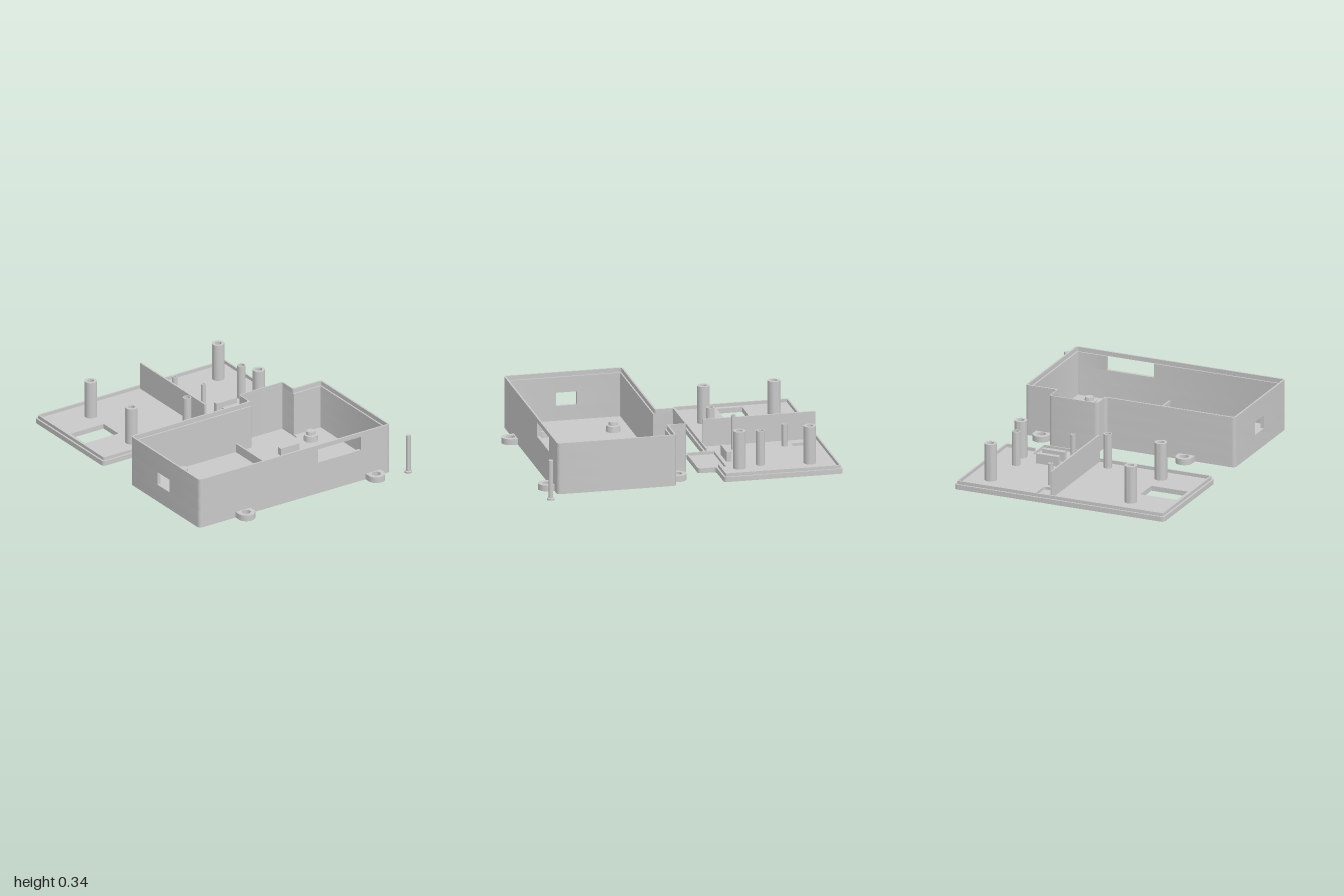
import * as THREE from 'three';
import { toCreasedNormals } from 'three/addons/utils/BufferGeometryUtils.js';

const LIP = 0.012, WALL = 0.022, BAY_WALL = 0.008;
const LEFT = 0.683, RIGHT = -0.807, DEPTH = 0.793, BAY0 = 0.114, BAY1 = 0.461;

export function createModel() {
  const grey = new THREE.MeshStandardMaterial({ color: 0xc8c8c8 });
  grey.name = 'plastic grey';
  const model = new THREE.Group();
  model.name = 'electronicsEnclosure';
  const base = new THREE.Group(), lid = new THREE.Group(), screw = new THREE.Group();
  base.name = 'caseBase';
  lid.name = 'caseLid';
  screw.name = 'screw';
  model.add(base, lid, screw);

  const vec = (x, y) => new THREE.Vector2(x, y);
  const add = (parent, name, geometry) => {
    const mesh = new THREE.Mesh(geometry, grey);
    mesh.name = name;
    parent.add(mesh);
    return mesh;
  };
  const box = (parent, name, x0, x1, y0, y1, z0, z1) =>
    add(parent, name, new THREE.BoxGeometry(x1 - x0, y1 - y0, z1 - z0))
      .position.set((x0 + x1) / 2, (y0 + y1) / 2, (z0 + z1) / 2);
  // Horizontal slab; shapes are drawn counter-clockwise in (x, -z)
  const slab = (parent, name, shape, y0, y1) => {
    const g = new THREE.ExtrudeGeometry(shape, { depth: y1 - y0, bevelEnabled: false, curveSegments: 16 });
    g.rotateX(-Math.PI / 2);
    g.translate(0, y0, 0);
    add(parent, name, toCreasedNormals(g, 0.6));
  };
  // Turned part from [radius, height] pairs
  const turned = (parent, name, profile, x, z) => {
    const g = new THREE.LatheGeometry(profile.map(p => vec(...p)), 28);
    add(parent, name, toCreasedNormals(g, 0.6)).position.set(x, 0, z);
  };
  const tube = (parent, name, x, z, r, hole, y0, y1) =>
    turned(parent, name, [[hole, y0], [r, y0], [r, y1], [hole, y1], [hole, y0]], x, z);
  const circle = (x, z, r) => new THREE.Path().absarc(x, -z, r, 0, Math.PI * 2, true);
  const rect = (x0, x1, z0, z1) =>
    new THREE.Path([vec(x0, -z0), vec(x1, -z0), vec(x1, -z1), vec(x0, -z1)]);

  // Case outline with thin-walled side bay, inset by d; v runs from the bay side into the case
  const corners = d => {
    const e = Math.min(d, BAY_WALL);
    return [
      vec(RIGHT + d, d), vec(BAY0 + e, d), vec(BAY0 + e, -0.12 + e), vec(BAY1 - e, -0.12 + e),
      vec(BAY1 - e, d), vec(LEFT - d, d), vec(LEFT - d, DEPTH - d), vec(RIGHT + d, DEPTH - d),
    ];
  };
  const rounded = (d, start = 0, count = 8) => {
    const c = corners(d), r = Math.max(0.025 - d, 0.004), out = [];
    for (let i = start; i < start + count; i++) {
      const p = c[i % 8];
      const toward = q => p.clone().add(q.clone().sub(p).setLength(r));
      const curve = new THREE.QuadraticBezierCurve(toward(c[(i + 7) % 8]), p, toward(c[(i + 1) % 8]));
      out.push(...curve.getPoints(5));
    }
    return out;
  };
  const onBase = pts => pts.map(p => vec(p.x, -0.11 - p.y)).reverse();
  const onLid = pts => pts.map(p => vec(p.x, 0.207 + p.y));
  const ring = d => {
    const s = new THREE.Shape(onBase(rounded(0)));
    s.holes.push(new THREE.Path(onBase(rounded(d))));
    return s;
  };
  // Ring with a gap: ends(d) gives the first and last point, corners start..start+count lie between
  const openRing = (place, d0, d1, ends, start, count) => {
    const side = d => {
      const [first, last] = ends(d);
      return [first, ...rounded(d, start, count), last];
    };
    return new THREE.Shape(place([...side(d0), ...side(d1).reverse()]));
  };

  // Base: floor with bay recess, then walls with the side window and front slot
  const floor = new THREE.Shape(onBase(rounded(0)));
  slab(base, 'floorUnderside', floor, 0, 0.012);
  const floorTop = floor.clone();
  floorTop.holes.push(rect(BAY0 + BAY_WALL, BAY1 - BAY_WALL, -0.002, 0.17));
  slab(base, 'floorTop', floorTop, 0.012, 0.02);
  const windowEnds = d => [vec(RIGHT + d, 0.31), vec(RIGHT + d, 0.45)];
  const slotEnds = d => [vec(0.12, DEPTH - d), vec(0.455, DEPTH - d)];
  slab(base, 'lowerWall', ring(WALL), 0.02, 0.12);
  slab(base, 'sideWindowWall', openRing(onBase, 0, WALL, windowEnds, 0, 8), 0.12, 0.21);
  slab(base, 'middleWall', ring(WALL), 0.21, 0.22);
  slab(base, 'frontSlotWall', openRing(onBase, 0, WALL, slotEnds, 7, 8), 0.22, 0.315);
  slab(base, 'rimWall', ring(LIP), 0.315, 0.345);

  // Mounting ears
  for (const x of [-0.465, 0.55]) {
    for (const [z, wall, dir] of [[0.94, 0.89, -1], [0.07, 0.12, 1]]) {
      const r = 0.058, turn = dir > 0 ? 0 : Math.PI, s = new THREE.Shape();
      s.moveTo(x + dir * r, -wall);
      s.lineTo(x + dir * r, -z);
      s.absarc(x, -z, r, turn, turn + Math.PI, false);
      s.lineTo(x - dir * r, -wall);
      s.closePath();
      s.holes.push(circle(x, z, 0.029));
      slab(base, 'mountingEar', s, 0, 0.04);
    }
  }

  // Stepped bosses, board rests and low divider inside the base
  for (const x of [-0.49, 0.505])
    for (const z of [0.25, 0.72])
      turned(base, 'boss', [[0.048, 0.02], [0.044, 0.06], [0.031, 0.062], [0.028, 0.085], [0, 0.085]], x, z);
  for (const z of [0.325, 0.66]) box(base, 'boardRest', 0.21, 0.355, 0.02, 0.07, z - 0.016, z + 0.016);
  for (const [z0, z1, h] of [[0.12, 0.45, 0.08], [0.45, 0.51, 0.05], [0.51, 0.89, 0.08]])
    box(base, 'lowDivider', 0, 0.012, 0.02, h, z0, z1);

  // Lid posts: x, z, radius, hole radius, top height
  const posts = [
    [-0.49, -0.82, 0.041, 0.022, 0.285], [0.505, -0.82, 0.041, 0.022, 0.285],
    [-0.49, -0.35, 0.041, 0.022, 0.285], [0.505, -0.35, 0.041, 0.022, 0.285],
    [-0.09, -0.3, 0.028, 0.02, 0.265], [0.47, -0.5, 0.028, 0.02, 0.265],
    [0.115, -0.745, 0.018, 0.011, 0.18], [0.11, -0.405, 0.016, 0.01, 0.265],
  ];
  // Lid plate in two layers: wider screw recesses below, shallow slot and bay recess above
  const plate = (name, y0, y1, lower) => {
    const s = new THREE.Shape(onLid(rounded(0)));
    s.holes.push(rect(-0.75, -0.49, -0.67, -0.5));
    for (const [x, z, r, hole] of posts) s.holes.push(circle(x, z, lower && r > 0.04 ? 0.034 : hole));
    if (!lower) {
      const slot = new THREE.Path();
      [[0.12, 0.928], [0.094, 0.928], [0.094, 0.814], [0.12, 0.814]].forEach(([x, y], i) =>
        slot.absarc(x, y, 0.016, i * Math.PI / 2, (i + 1) * Math.PI / 2, false));
      slot.closePath();
      s.holes.push(slot, rect(BAY0 + BAY_WALL, BAY1 - BAY_WALL, -0.273, -0.095));
    }
    slab(lid, name, s, y0, y1);
  };
  plate('lidOuterPlate', 0, 0.014, true);
  plate('lidInnerPlate', 0.014, 0.033, false);
  const lipEnds = d => [vec(BAY1, d), vec(BAY0, d)];
  slab(lid, 'lidLip', openRing(onLid, LIP, 0.023, lipEnds, 5, 4), 0.033, 0.055);
  for (const [x, z, r, hole, top] of posts) tube(lid, 'post', x, z, r, hole, 0.033, top);
  box(lid, 'divider', 0, 0.012, 0.033, 0.217, -0.975, -0.228);
  for (const z of [-0.41, -0.315]) box(lid, 'boardRail', 0.205, 0.365, 0.033, 0.1, z - 0.016, z + 0.016);

  // Loose screw standing on its head
  turned(screw, 'screwBody', [[0, 0], [0.025, 0], [0.025, 0.012], [0.016, 0.014], [0.016, 0.267], [0, 0.267]], 0.78, 0.97);
  return model;
}
